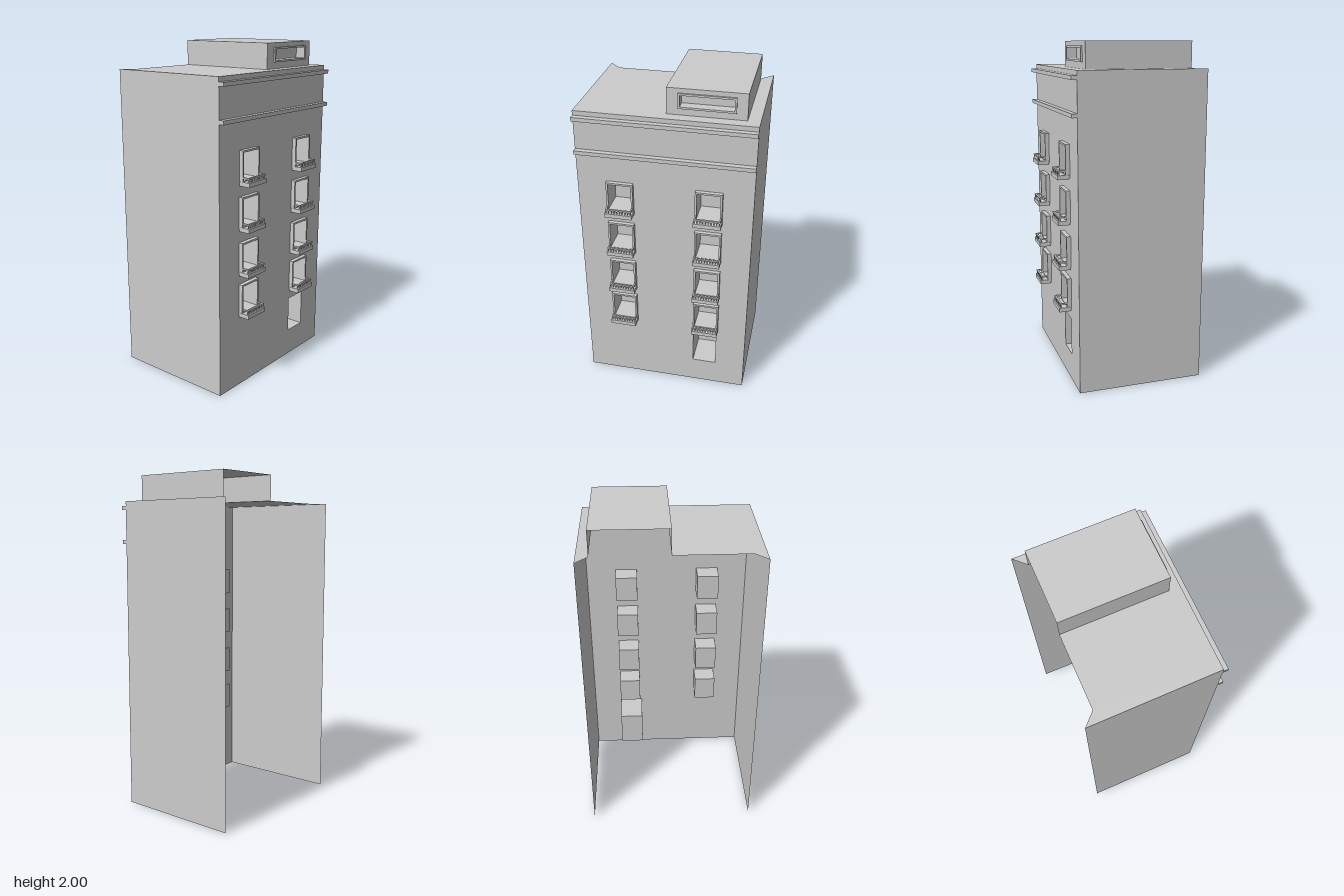
import * as THREE from 'three';

const mat = new THREE.MeshStandardMaterial({ color: 0xcccccc, side: THREE.DoubleSide, flatShading: true });

const BACK = -0.415, FACE = 0.34, HALF = 0.508, ROOF = 1.85;
const HOUSE = { x0: -0.345, x1: 0.274, z0: -0.438, z1: 0, top: 2 };

function add(parent, name, geometry) {
  const mesh = new THREE.Mesh(geometry, mat);
  mesh.name = name;
  parent.add(mesh);
  return mesh;
}

// Box given by its min and max corners
function box(parent, name, [x0, y0, z0], [x1, y1, z1]) {
  const g = new THREE.BoxGeometry(x1 - x0, y1 - y0, z1 - z0);
  g.translate((x0 + x1) / 2, (y0 + y1) / 2, (z0 + z1) / 2);
  return add(parent, name, g);
}

const rectPoints = (u0, v0, u1, v1) =>
  [[u0, v0], [u1, v0], [u1, v1], [u0, v1]].map(p => new THREE.Vector2(...p));

// Shape in the (-z, y) plane with rectangular holes, each { z, w, y0, y1 }
function facadeShape(z0, z1, y0, y1, openings) {
  const s = new THREE.Shape(rectPoints(-z1, y0, -z0, y1));
  for (const o of openings)
    s.holes.push(new THREE.Path(rectPoints(-o.z - o.w / 2, o.y0, -o.z + o.w / 2, o.y1).reverse()));
  return s;
}

// Flat wall facing +x
function wallX(parent, name, x, shape) {
  add(parent, name, new THREE.ShapeGeometry(shape).rotateY(Math.PI / 2)).position.x = x;
}

// Five-sided niche behind an opening, open towards +x
function niche(parent, name, x, o, depth) {
  const g = new THREE.BoxGeometry(depth, o.y1 - o.y0, o.w);
  g.setIndex(Array.from(g.index.array).slice(6));
  g.translate(x - depth / 2, (o.y0 + o.y1) / 2, o.z);
  add(parent, name, g);
}

// Raised surround around an opening
function surround(parent, name, x, o, border, bottom, depth) {
  const s = facadeShape(o.z - o.w / 2 - border, o.z + o.w / 2 + border, o.y0 - bottom, o.y1 + border, [o]);
  const g = new THREE.ExtrudeGeometry(s, { depth, bevelEnabled: false }).rotateY(Math.PI / 2);
  add(parent, name, g).position.x = x;
}

// Window with surround, sill slab and small railing
function balconyWindow(o) {
  const g = new THREE.Group();
  g.name = 'balconyWindow';
  const y = o.y0 - 0.005, a = o.z - 0.08, b = o.z + 0.08;
  niche(g, 'windowNiche', FACE, o, 0.12);
  surround(g, 'windowFrame', FACE, o, 0.011, 0.02, 0.025);
  box(g, 'balconySlab', [FACE + 0.005, y - 0.025, a], [0.413, y, b]);
  // Railing: front bar, two side bars, balusters
  box(g, 'frontRail', [0.397, y + 0.018, a + 0.004], [0.408, y + 0.027, b - 0.004]);
  for (const z of [a + 0.004, b - 0.012])
    box(g, 'sideRail', [FACE + 0.02, y + 0.018, z], [0.4, y + 0.027, z + 0.008]);
  for (let i = 0; i < 10; i++) {
    const z = a + 0.008 + i * 0.016;
    box(g, 'baluster', [0.399, y, z - 0.002], [0.406, y + 0.02, z + 0.002]);
  }
  return g;
}

export function createModel() {
  const model = new THREE.Group();
  model.name = 'building';

  // Openings in the facade
  const windows = [];
  for (const y of [0.445, 0.70, 0.97, 1.236])
    for (const z of [-0.257, 0.257]) windows.push({ z, w: 0.134, y0: y + 0.03, y1: y + 0.19 });
  const door = { z: -0.252, w: 0.145, y0: 0.167, y1: 0.39 };

  // Facade and the two blank side walls; the rear stays open
  wallX(model, 'facade', FACE, facadeShape(-HALF, HALF, 0, ROOF, [...windows, door]));
  for (const s of [1, -1]) {
    const g = new THREE.PlaneGeometry(FACE - BACK, ROOF);
    if (s < 0) g.rotateY(Math.PI);
    g.translate((FACE + BACK) / 2, ROOF / 2, s * HALF);
    add(model, 'sideWall', g);
  }

  // Roof with mitred rear corners, cut out below the rooftop room (shape plane is x, -z)
  const roof = new THREE.Shape([
    [BACK, -HALF], [FACE, -HALF], [FACE, HALF], [BACK, HALF],
    [HOUSE.x0, -HOUSE.z0], [HOUSE.x1, -HOUSE.z0], [HOUSE.x1, -HOUSE.z1],
    [HOUSE.x0, -HOUSE.z1], [HOUSE.x0, -0.438],
  ].map(p => new THREE.Vector2(...p)));
  add(model, 'roof', new THREE.ShapeGeometry(roof).rotateX(-Math.PI / 2)).position.y = ROOF;

  // Rooftop room, open at the rear and below
  const room = new THREE.Group();
  room.name = 'rooftopRoom';
  model.add(room);
  const w = HOUSE.x1 - HOUSE.x0, d = HOUSE.z1 - HOUSE.z0, h = HOUSE.top - ROOF;
  const shell = new THREE.BoxGeometry(w, h, d);
  const idx = Array.from(shell.index.array);
  shell.setIndex([...idx.slice(12, 18), ...idx.slice(24)]); // top and both sides
  shell.translate((HOUSE.x0 + HOUSE.x1) / 2, ROOF + h / 2, (HOUSE.z0 + HOUSE.z1) / 2);
  add(room, 'roomShell', shell);
  const strip = { z: -0.221, w: 0.294, y0: 1.899, y1: 1.963 };
  wallX(room, 'roomFront', HOUSE.x1, facadeShape(HOUSE.z0, HOUSE.z1, ROOF, HOUSE.top, [strip]));
  niche(room, 'roomWindowNiche', HOUSE.x1, strip, 0.05);
  surround(room, 'roomWindowFrame', HOUSE.x1, strip, 0.011, 0.011, 0.01);

  // Cornice bands
  for (const y of [1.6, 1.8])
    box(model, 'cornice', [FACE, y, -HALF], [0.372, y + 0.023, HALF]);

  // Door and windows
  niche(model, 'doorNiche', FACE, door, 0.2);
  for (const o of windows) model.add(balconyWindow(o));

  return model;
}
